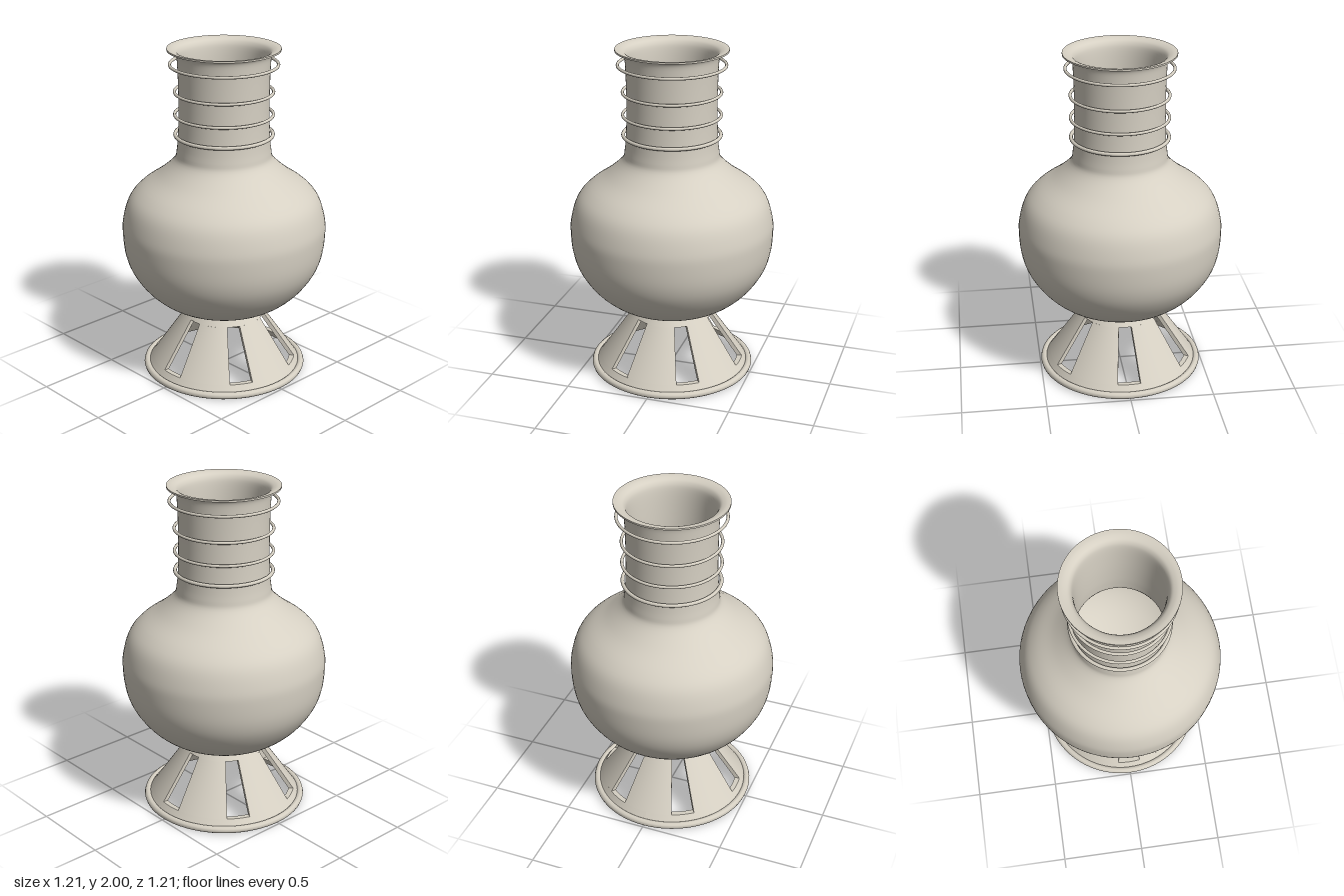
import * as THREE from 'three';

const SEGMENTS = 72;
const clay = new THREE.MeshStandardMaterial({ color: 0xd6d0c3 });
clay.name = 'pale clay';

const points = (list) => list.map(([r, y]) => new THREE.Vector2(r, y));
const smooth = (list, n) => new THREE.SplineCurve(points(list)).getPoints(n);

function add(group, name, geometry) {
  const mesh = new THREE.Mesh(geometry, clay);
  mesh.name = name;
  group.add(mesh);
  return mesh;
}

const lathe = (profile) => new THREE.LatheGeometry(profile, SEGMENTS);

// Outer radius of the conical foot at height y
const footRadius = (y) => 0.45 - (y - 0.05) * 0.686;
const WALL = 0.03;

// Curved slab of the foot wall: a box bent around the axis
function footSlab(angle, arc, y0, y1, segments) {
  const g = new THREE.BoxGeometry(1, 1, 1, segments, 1, 1);
  const p = g.attributes.position;
  for (let i = 0; i < p.count; i++) {
    const phi = angle + p.getX(i) * arc;
    const y = y0 + (p.getY(i) + 0.5) * (y1 - y0);
    const r = footRadius(y) - (0.5 - p.getZ(i)) * WALL;
    p.setXYZ(i, r * Math.sin(phi), y, r * Math.cos(phi));
  }
  g.computeVertexNormals();
  return g;
}

function ring(group, name, y, radius, tube) {
  const mesh = add(group, name, new THREE.TorusGeometry(radius, tube, 10, SEGMENTS));
  mesh.rotation.x = Math.PI / 2;
  mesh.position.y = y;
}

export function createModel() {
  const model = new THREE.Group();
  model.name = 'vase';

  // Outside of the body and neck, from the underside up to the lip
  const outer = [
    [0.22, 0.408], [0.35, 0.45], [0.465, 0.537], [0.55, 0.65], [0.592, 0.76],
    [0.606, 0.89], [0.6, 0.98], [0.565, 1.09], [0.5, 1.167], [0.385, 1.25],
    [0.295, 1.335], [0.277, 1.395], [0.268, 1.49], [0.264, 1.62], [0.264, 1.76],
    [0.268, 1.9], [0.275, 1.965], [0.295, 1.984], [0.328, 1.99],
  ];
  add(model, 'bodyOutside', lathe(smooth(outer, 90)));
  add(model, 'underside', lathe(points([[0, 0.405], [0.22, 0.408]])));

  // Lip edge and hollow inside, running back down to the floor
  add(model, 'lipEdge', lathe(points([[0.328, 1.99], [0.328, 2]])));
  const inner = [
    [0.328, 2], [0.295, 1.995], [0.265, 1.975], [0.25, 1.92], [0.243, 1.76],
    [0.243, 1.6], [0.25, 1.45], [0.27, 1.34], [0.365, 1.235], [0.48, 1.15],
    [0.545, 1.08], [0.58, 0.97], [0.586, 0.89], [0.572, 0.77], [0.53, 0.66],
    [0.45, 0.555], [0.34, 0.47], [0.24, 0.43],
  ];
  add(model, 'bodyInside', lathe(smooth(inner, 80)));
  add(model, 'innerFloor', lathe(points([[0.24, 0.43], [0, 0.425]])));

  // Loose rings around the neck
  const rings = [[1.905, 0.312, 0.009], [1.745, 0.286, 0.009], [1.61, 0.286, 0.009], [1.49, 0.285, 0.011]];
  rings.forEach(([y, r, tube], i) => ring(model, `neckRing${i + 1}`, y, r, tube));

  // Conical foot with six slots between its bands
  const foot = new THREE.Group();
  foot.name = 'foot';
  model.add(foot);
  add(foot, 'lowerBand', footSlab(0, Math.PI * 2, 0.012, 0.07, SEGMENTS));
  add(foot, 'upperBand', footSlab(0, Math.PI * 2, 0.352, 0.412, SEGMENTS));
  const slotArc = 0.32;
  for (let i = 0; i < 6; i++) {
    add(foot, `strut${i + 1}`, footSlab(i * Math.PI / 3, Math.PI / 3 - slotArc, 0.07, 0.352, 12));
  }
  ring(foot, 'baseRing', 0.021, 0.475, 0.021);

  return model;
}
